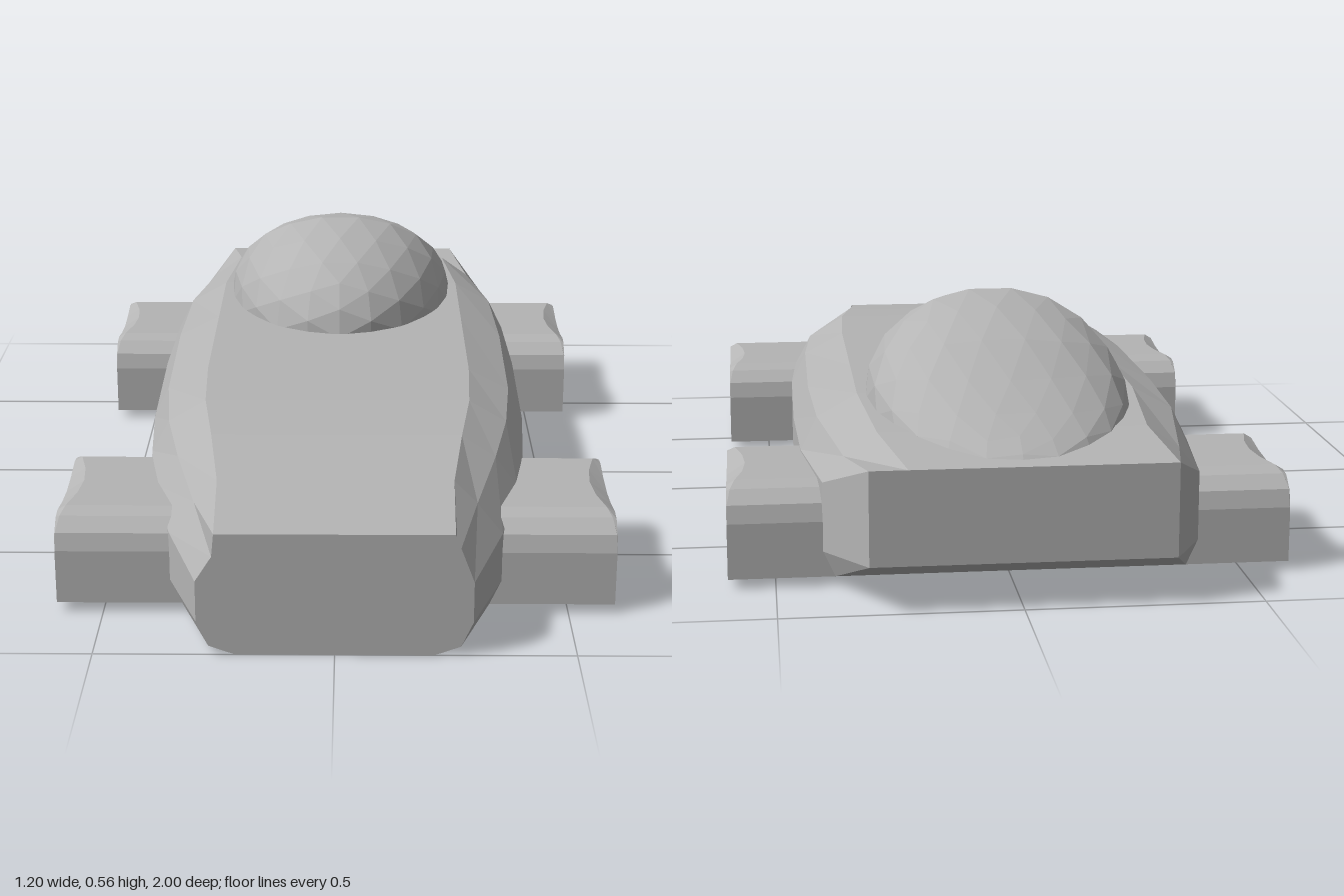
import * as THREE from 'three';

// Skin a list of closed rings (clockwise seen from +z, ordered front to back) and cap both ends.
function loft(rings) {
  const n = rings[0].length, idx = [];
  for (let i = 0; i < rings.length - 1; i++) {
    for (let j = 0; j < n; j++) {
      const k = (j + 1) % n;
      const a = i * n + j, b = i * n + k, c = a + n, d = b + n;
      idx.push(a, b, c, b, d, c);
    }
  }
  const last = (rings.length - 1) * n;
  for (let j = 1; j < n - 1; j++) {
    idx.push(0, j + 1, j);
    idx.push(last, last + j, last + j + 1);
  }
  const g = new THREE.BufferGeometry();
  g.setAttribute('position', new THREE.Float32BufferAttribute(rings.flat(2), 3));
  g.setIndex(idx);
  const flat = g.toNonIndexed();
  flat.computeVertexNormals();
  return flat;
}

function bodyGeometry() {
  // z, side half-width, roof half-width, roof y, shoulder half-width, side top y, floor y
  const stations = [
    [1.0, 0.285, 0.245, 0.27, 0.25, 0.165, 0.0],
    [0.8, 0.355, 0.25, 0.305, 0.30, 0.185, 0.002],
    [0.6, 0.4, 0.275, 0.33, 0.35, 0.21, 0.004],
    [0.42, 0.425, 0.3, 0.345, 0.385, 0.22, 0.006],
    [0.2, 0.44, 0.31, 0.345, 0.405, 0.22, 0.008],
    [-0.2, 0.445, 0.31, 0.345, 0.41, 0.22, 0.012],
    [-0.5, 0.437, 0.31, 0.345, 0.4, 0.22, 0.016],
    [-0.8, 0.4, 0.285, 0.33, 0.355, 0.225, 0.02],
  ];
  const halves = stations.map(([z, w, tx, t, mx, s, b]) => [
    [tx, t, z], [mx, t - 0.05, z], [w, s, z], [w, 0.075, z], [w - 0.025, 0.02, z], [w * 0.72, b, z],
  ]);
  // squared-off tail
  halves.push([
    [0.235, 0.3, -1], [0.315, 0.3, -1], [0.315, 0.3, -1], [0.315, 0.1, -1], [0.315, 0.1, -1], [0.22, 0.1, -1],
  ]);
  return loft(halves.map(h => [...h, ...h.map(([x, y, z]) => [-x, y, z]).reverse()]));
}

function fenderGeometry(side) {
  // distance from middle, top y, outer edge y, inner x of the scooped bevel
  const half = [
    [0.21, 0.14, 0.139, 0.599],
    [0.2, 0.178, 0.176, 0.599],
    [0.17, 0.205, 0.202, 0.592],
    [0.14, 0.217, 0.206, 0.582],
    [0.07, 0.217, 0.195, 0.566],
    [0, 0.217, 0.19, 0.56],
  ];
  const all = [...half, ...half.slice(0, -1).reverse().map(([d, ...r]) => [-d, ...r])];
  return loft(all.map(([z, t, o, x]) => {
    const ring = [[0.28, t, z], [x, t, z], [0.6, o, z], [0.6, 0.02, z], [0.28, 0.02, z]];
    return side > 0 ? ring : ring.map(([px, y, pz]) => [-px, y, pz]).reverse();
  }));
}

function canopyGeometry() {
  // faceted ball, stretched lengthwise, flattened below and tapering to the tail
  const g = new THREE.IcosahedronGeometry(1, 3);
  const p = g.attributes.position;
  for (let i = 0; i < p.count; i++) {
    const u = p.getZ(i), z = -0.515 + 0.46 * u;
    const height = 0.233 - 0.155 * Math.max(0, 0.2 - u);
    const base = 0.335 - 0.11 * Math.max(0, -0.62 - z);
    const y = p.getY(i);
    const width = 0.292 * (1 + 0.04 * u);
    p.setXYZ(i, p.getX(i) * width, base + y * (y > 0 ? height : 0.04), z);
  }
  g.computeVertexNormals();
  return g;
}

export function createModel() {
  const model = new THREE.Group();
  model.name = 'car';
  const grey = new THREE.MeshStandardMaterial({ color: 0xb4b4b4, flatShading: true });
  grey.name = 'grey';
  const add = (name, geometry) => {
    const mesh = new THREE.Mesh(geometry, grey);
    mesh.name = name;
    model.add(mesh);
    return mesh;
  };

  add('body', bodyGeometry());
  add('canopy', canopyGeometry());

  // four wheel fenders
  for (const side of [1, -1]) {
    const geometry = fenderGeometry(side);
    for (const z of [0.59, -0.59]) {
      const name = (z > 0 ? 'front' : 'rear') + (side > 0 ? 'Left' : 'Right') + 'Fender';
      add(name, geometry).position.z = z;
    }
  }
  return model;
}
